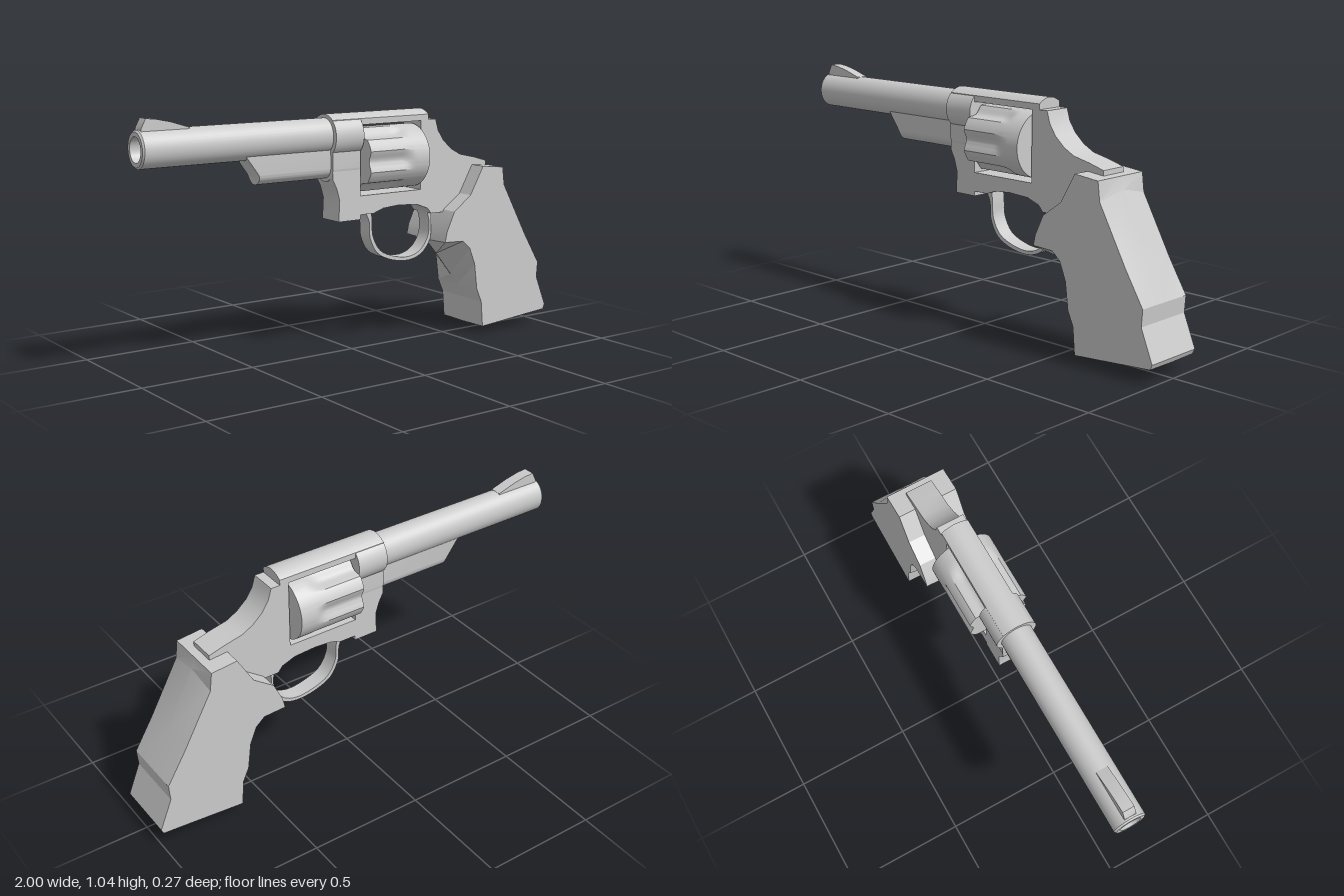
import * as THREE from 'three';
import { toCreasedNormals } from 'three/addons/utils/BufferGeometryUtils.js';

const material = new THREE.MeshStandardMaterial({ color: 0xcccccc, side: THREE.DoubleSide });
const points = list => list.map(([x, y]) => new THREE.Vector2(x, y));

export function createModel() {
  const model = new THREE.Group();
  const add = (name, geometry, crease = 0.6) => {
    const mesh = new THREE.Mesh(toCreasedNormals(geometry, crease), material);
    mesh.name = name;
    model.add(mesh);
  };

  // Side outline (x, y) extruded symmetrically across z
  const slab = (shape, width, steps = 1) =>
    new THREE.ExtrudeGeometry(shape, { depth: width, steps, bevelEnabled: false, curveSegments: 10 })
      .translate(0, 0, -width / 2);

  // Cross-section (z, y) extruded along the barrel direction
  const bar = (shape, x0, x1) =>
    new THREE.ExtrudeGeometry(shape, { depth: x1 - x0, bevelEnabled: false, curveSegments: 20 })
      .rotateY(Math.PI / 2).translate(x0, 0, 0);

  // Round section with a rounded lower lobe hanging from it
  const lobe = (halfWidth, bottom, top) => {
    const s = new THREE.Shape();
    s.moveTo(halfWidth, top);
    s.lineTo(-halfWidth, top);
    s.lineTo(-halfWidth, bottom + halfWidth);
    s.absarc(0, bottom + halfWidth, halfWidth, Math.PI, Math.PI * 2, false);
    s.closePath();
    return s;
  };

  // Barrel, hollow with a plain bore
  const barrel = new THREE.LatheGeometry(points([
    [0, -0.3], [0.05, -0.3], [0.05, -1], [0.068, -1], [0.075, -0.993], [0.075, -0.1]
  ]), 36).rotateZ(-Math.PI / 2).scale(1, 1, 0.9).translate(0, 0.925, 0);
  add('barrel', barrel);

  // Front sight ramp
  add('frontSight', slab(new THREE.Shape(points([
    [-0.985, 0.98], [-0.78, 0.98], [-0.78, 1], [-0.86, 1.025], [-0.92, 1.038], [-0.965, 1.043], [-0.985, 1.005]
  ])), 0.05));

  // Ejector shroud, its front end swept forward toward the barrel
  const shroud = bar(lobe(0.046, 0.75, 0.88), -0.48, -0.1);
  const sp = shroud.attributes.position;
  for (let i = 0; i < sp.count; i++) {
    if (sp.getX(i) < -0.4) {
      const t = Math.min(1, Math.max(0, (sp.getY(i) - 0.77) / 0.08));
      sp.setX(i, -0.48 - 0.07 * t * t);
    }
  }
  add('ejectorShroud', shroud);

  // Frame collar around the barrel and the shroud
  const ring = new THREE.Shape();
  ring.absellipse(0, 0.925, 0.088, 0.09, 0, Math.PI * 2, false);
  add('barrelCollar', bar(ring, -0.14, 0));
  add('shroudCollar', bar(lobe(0.062, 0.735, 0.9), -0.14, 0));

  // Top strap with a rounded crown
  const strap = new THREE.Shape();
  strap.moveTo(-0.06, 0.967);
  strap.lineTo(0.06, 0.967);
  strap.lineTo(0.06, 0.993);
  strap.quadraticCurveTo(0, 1.037, -0.06, 0.993);
  strap.closePath();
  add('topStrap', bar(strap, -0.14, 0.36));

  // Frame with the cylinder window
  const frame = new THREE.Shape(points([
    [-0.14, 0.985], [0.36, 0.985], [0.36, 0.97], [0.4, 0.97], [0.415, 0.92], [0.445, 0.875], [0.49, 0.835],
    [0.54, 0.808], [0.62, 0.79], [0.69, 0.77], [0.69, 0.7], [0.6, 0.6], [0.47, 0.5], [0.45, 0.56],
    [0.38, 0.56], [0.36, 0.585], [0.3, 0.607], [0.2, 0.613], [0.12, 0.607], [0.07, 0.59], [0, 0.59],
    [0, 0.57], [-0.11, 0.57], [-0.105, 0.66], [-0.12, 0.71], [-0.14, 0.75]
  ]));
  frame.holes.push(new THREE.Path(points([[0, 0.67], [0.32, 0.67], [0.32, 0.967], [0, 0.967]])));
  add('frame', slab(frame, 0.12));

  // Cylinder: six flutes sunk into the front part
  const length = 0.305, radius = 0.136;
  const cylinder = new THREE.CylinderGeometry(radius, radius, length, 96, 16);
  const cp = cylinder.attributes.position;
  for (let i = 0; i < cp.count; i++) {
    const x = cp.getX(i), y = cp.getY(i), z = cp.getZ(i);
    const wave = Math.max(0, -Math.cos(6 * Math.atan2(x, z)) + 0.35) / 1.35;
    const fade = Math.min(1, Math.max(0, (y + length / 2 - 0.075) / 0.05));
    const r = Math.hypot(x, z) > 0.01 ? 1 - 0.16 * wave * fade : 1;
    cp.setXYZ(i, x * r, y, z * r);
  }
  cylinder.rotateX(Math.PI / 6).rotateX(-Math.PI / 6);
  add('cylinder', cylinder.rotateY(Math.PI / 2).rotateZ(Math.PI / 2).translate(0.158, 0.817, 0), 0.5);

  // Trigger guard: thin band between an outer and an inner curve
  const outer = new THREE.SplineCurve(points([
    [0.04, 0.6], [0.065, 0.55], [0.07, 0.48], [0.11, 0.41], [0.19, 0.372], [0.28, 0.362], [0.35, 0.385],
    [0.395, 0.44], [0.4, 0.5], [0.4, 0.57]
  ])).getPoints(36);
  const inner = new THREE.SplineCurve(points([
    [0.37, 0.58], [0.388, 0.53], [0.385, 0.46], [0.345, 0.402], [0.28, 0.377], [0.2, 0.387], [0.125, 0.42],
    [0.085, 0.485], [0.08, 0.55], [0.075, 0.6]
  ])).getPoints(36);
  add('triggerGuard', slab(new THREE.Shape([...outer, ...inner]), 0.07));

  // Grip: flat side outline paired with a fuller centre-line outline
  // each row: side x, side y, centre x, centre y
  const rows = [
    [0.61, 0.757, 0.61, 0.757], [0.54, 0.635, 0.54, 0.635], [0.45, 0.57, 0.45, 0.57], [0.41, 0.485, 0.41, 0.485],
    [0.4, 0.44, 0.4, 0.435], [0.5, 0.435, 0.46, 0.365], [0.54, 0.4, 0.5, 0.315], [0.57, 0.325, 0.545, 0.26],
    [0.585, 0.21, 0.585, 0.21], [0.612, 0.15, 0.612, 0.15], [0.622, 0.035, 0.622, 0.033],
    [0.7, 0.041, 0.7, 0.012], [0.81, 0.05, 0.81, 0], [0.91, 0.058, 0.91, 0.022], [0.99, 0.064, 0.99, 0.062],
    [1, 0.085, 1, 0.085], [0.945, 0.22, 0.945, 0.22], [0.95, 0.29, 0.95, 0.29],
    [0.865, 0.43, 0.877, 0.435], [0.735, 0.665, 0.74, 0.695], [0.725, 0.745, 0.725, 0.745]
  ];
  const grip = slab(new THREE.Shape(points(rows)), 0.27, 2);
  const gp = grip.attributes.position;
  for (let i = 0; i < gp.count; i++) {
    if (Math.abs(gp.getZ(i)) > 0.01) continue;
    const row = rows.find(r => Math.hypot(r[0] - gp.getX(i), r[1] - gp.getY(i)) < 1e-4);
    if (row) gp.setXY(i, row[2], row[3]);
  }
  add('grip', grip, 0.3);

  return model;
}
